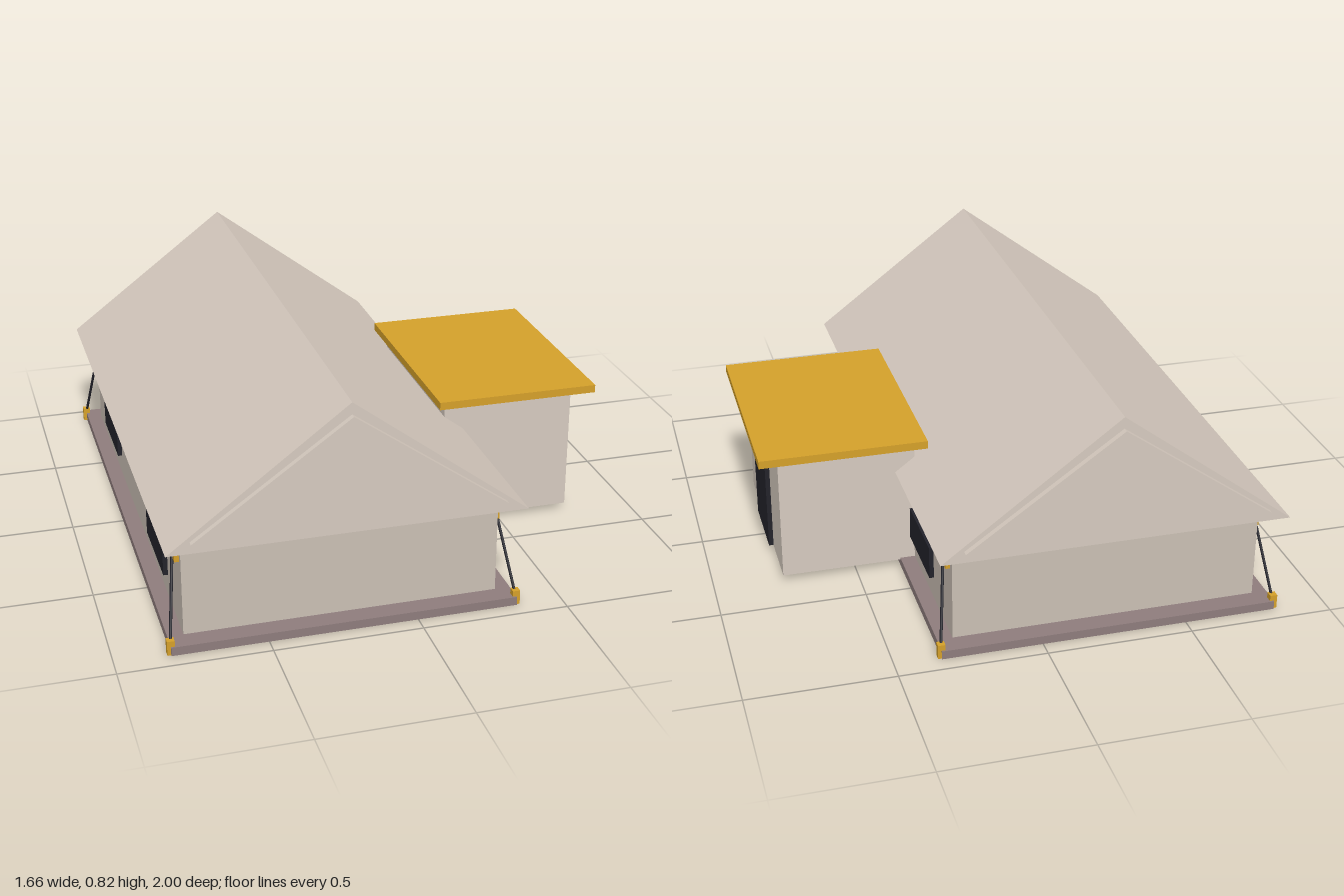
import * as THREE from 'three';

const paint = (color) => new THREE.MeshStandardMaterial({ color });
const canvas = paint(0xd6cabf);
const wallCanvas = paint(0xcabfb4);
const gold = paint(0xd4a02a);
const dark = paint(0x22222a);
const floorMat = paint(0x8e7c7c);

const CX = -0.2375; // ridge line of the main tent

export function createModel() {
  const group = new THREE.Group();

  const add = (name, geometry, material) => {
    const mesh = new THREE.Mesh(geometry, material);
    mesh.name = name;
    group.add(mesh);
    return mesh;
  };

  // box given by its low and high limits on each axis
  const box = (name, material, [x0, x1], [y0, y1], [z0, z1]) =>
    add(name, new THREE.BoxGeometry(x1 - x0, y1 - y0, z1 - z0), material)
      .position.set((x0 + x1) / 2, (y0 + y1) / 2, (z0 + z1) / 2);

  // triangular prism running along z, centred on the ridge line
  const prism = (name, half, y0, y1, z0, z1) => {
    const shape = new THREE.Shape();
    shape.moveTo(-half, y0);
    shape.lineTo(half, y0);
    shape.lineTo(0, y1);
    shape.closePath();
    const geometry = new THREE.ExtrudeGeometry(shape, { depth: z1 - z0, bevelEnabled: false });
    add(name, geometry, canvas).position.set(CX, 0, z0);
  };

  // main tent: floor, walls, roof and raised gable panels
  box('floor', floorMat, [CX - 0.58, CX + 0.58], [0, 0.03], [-0.945, 0.945]);
  box('walls', wallCanvas, [CX - 0.5275, CX + 0.5275], [0.03, 0.376], [-0.875, 0.875]);
  prism('roof', 0.592, 0.375, 0.82, -0.98, 0.98);
  prism('frontGable', 0.515, 0.415, 0.78, 0.97, 1);
  prism('backGable', 0.515, 0.415, 0.78, -1, -0.97);

  for (const side of [-1, 1]) {
    const label = side > 0 ? 'left' : 'right';
    const span = (a, b) => [CX + side * a, CX + side * b].sort((p, q) => p - q);

    // trim band below the eaves
    box(label + 'Trim', gold, span(0.5275, 0.543), [0.28, 0.332], [-0.85, 0.85]);

    for (const end of [-1, 1]) {
      const zs = (a, b) => [end * a, end * b].sort((p, q) => p - q);
      box(label + 'Window', dark, span(0.5275, 0.543), [0.11, 0.225], zs(0.315, 0.625));

      // corner stake and its guy rope
      box(label + 'Stake', gold, span(0.567, 0.592), [0, 0.05], zs(0.915, 0.94));
      const path = new THREE.LineCurve3(
        new THREE.Vector3(CX + side * 0.58, 0.03, end * 0.928),
        new THREE.Vector3(CX + side * 0.53, 0.385, end * 0.775)
      );
      add(label + 'Rope', new THREE.TubeGeometry(path, 1, 0.005, 8), dark);
    }
  }

  // side entrance with flat canopy, door and header
  box('entranceWalls', canvas, [0.285, 0.76], [0.023, 0.47], [-0.342, 0.342]);
  box('entranceCanopy', gold, [0.25, 0.83], [0.48, 0.508], [-0.395, 0.395]);
  box('door', dark, [0.76, 0.776], [0.025, 0.432], [-0.13, 0.13]);
  box('doorHeader', gold, [0.76, 0.787], [0.432, 0.462], [-0.168, 0.168]);

  return group;
}
